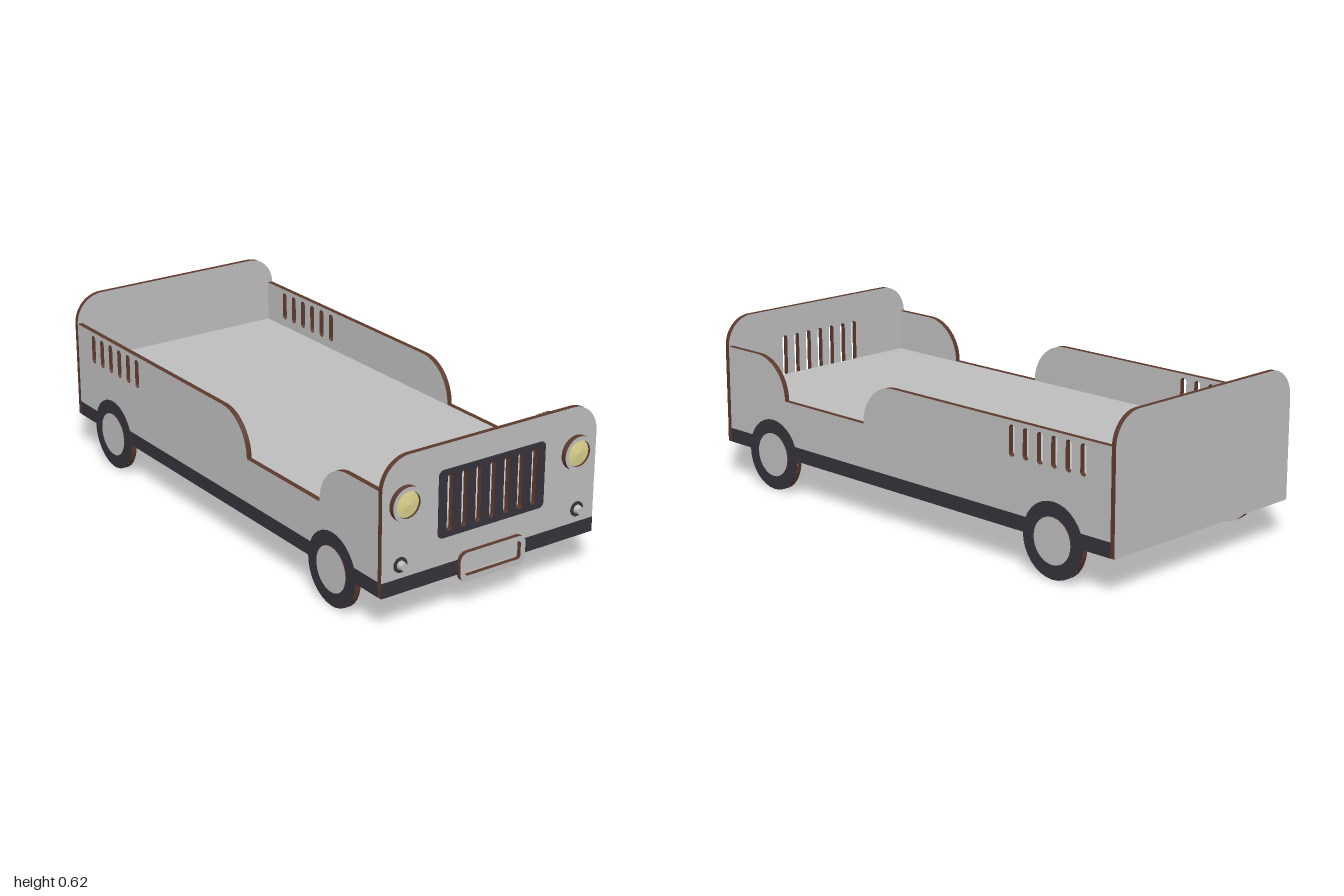
import * as THREE from 'three';

const mat = (name, color) => Object.assign(new THREE.MeshStandardMaterial({ color }), { name });

// Rounded rectangle added to a path; separate radii for bottom and top corners
function roundRect(path, x0, y0, x1, y1, rb, rt = rb) {
  path.moveTo(x0 + rb, y0);
  path.lineTo(x1 - rb, y0);
  if (rb) path.absarc(x1 - rb, y0 + rb, rb, -Math.PI / 2, 0);
  path.lineTo(x1, y1 - rt);
  if (rt) path.absarc(x1 - rt, y1 - rt, rt, 0, Math.PI / 2);
  path.lineTo(x0 + rt, y1);
  if (rt) path.absarc(x0 + rt, y1 - rt, rt, Math.PI / 2, Math.PI);
  path.lineTo(x0, y0 + rb);
  if (rb) path.absarc(x0 + rb, y0 + rb, rb, Math.PI, Math.PI * 1.5);
  return path;
}
const rect = (...a) => roundRect(new THREE.Shape(), ...a);
const hole = (...a) => roundRect(new THREE.Path(), ...a);
const disc = (x, y, r, Type = THREE.Shape) => new Type().absarc(x, y, r, 0, Math.PI * 2);

export function createModel() {
  const model = new THREE.Group();
  const grey = mat('grey paint', 0xbdbdbd);
  const dark = mat('dark trim', 0x35323b);
  const brown = mat('brown board edge', 0x5c392c);
  const yellow = mat('yellow lens', 0xded68f);
  const wood = mat('slat wood', 0x8a6f4c);
  const orange = mat('orange rail', 0xe47834);

  // Flat board cut from a shape: face colour on the caps, edge colour round the rim
  const board = (name, shape, z, depth, face = grey, edge = brown) => {
    const geo = new THREE.ExtrudeGeometry(shape, { depth, bevelEnabled: false, curveSegments: 16 });
    const mesh = new THREE.Mesh(geo, [face, edge]);
    mesh.name = name;
    mesh.position.z = z;
    model.add(mesh);
    return mesh;
  };
  // The same board turned so the shape lies in the z-y plane, from x to x + depth
  const sideBoard = (name, shape, x, depth, face, edge) => {
    const mesh = board(name, shape, 0, depth, face, edge);
    mesh.rotation.y = -Math.PI / 2;
    mesh.position.x = x + depth;
  };
  const box = (name, x0, x1, y0, y1, z0, z1, material) => {
    const mesh = new THREE.Mesh(new THREE.BoxGeometry(x1 - x0, y1 - y0, z1 - z0), material);
    mesh.name = name;
    mesh.position.set((x0 + x1) / 2, (y0 + y1) / 2, (z0 + z1) / 2);
    model.add(mesh);
  };
  // Shallow cone pointing forwards
  const cone = (name, x, y, z, rTip, rBase, height, material) => {
    const mesh = new THREE.Mesh(new THREE.CylinderGeometry(rTip, rBase, height, 40), material);
    mesh.name = name;
    mesh.rotation.x = Math.PI / 2;
    mesh.position.set(x, y, z + height / 2);
    model.add(mesh);
  };

  const W = 0.452, T = 0.02, BASE = 0.136, FRONT = 0.957, FACE = 0.976, BACK = -0.982;
  const wheels = [-0.73, 0.705], R = 0.135;

  // Front panel with grille slots cut right through
  const front = rect(-W, BASE, W, 0.618, 0, 0.11);
  const grille = rect(-0.225, 0.286, 0.225, 0.528, 0.02);
  for (let i = -3; i <= 3; i++) {
    const x = i * 0.0593;
    for (const s of [front, grille]) s.holes.push(hole(x - 0.012, 0.306, x + 0.012, 0.508, 0.0119));
  }
  board('frontPanel', front, FRONT, FACE - FRONT);
  board('grille', grille, FACE, 0.002, dark, dark);
  board('backPanel', rect(-W, BASE, W, 0.618, 0, 0.11), -1, 0.018);

  // Bumper loop, with the front stripe stopping either side of it
  const bumper = rect(-0.139, 0.109, 0.139, 0.215, 0.03);
  bumper.holes.push(hole(-0.119, 0.13, 0.119, 0.196, 0.012));
  board('bumper', bumper, FACE, 0.017);
  for (const s of [-1, 1]) {
    const [a, b] = [s * 0.125, s * W].sort((p, q) => p - q);
    box('frontStripe', a, b, BASE, 0.19, FACE, FACE + 0.001, dark);

    // Headlight ring with a lens set into it, and fog light
    const ring = disc(s * 0.361, 0.453, 0.062);
    ring.holes.push(disc(s * 0.361, 0.453, 0.047, THREE.Path));
    board('headlightRing', ring, FACE, 0.02);
    cone('headlightLens', s * 0.361, 0.453, FACE + 0.012, 0, 0.0465, 0.007, yellow);
    board('fogLightRing', disc(s * 0.377, 0.239, 0.027), FACE, 0.004, dark, dark);
    cone('fogLight', s * 0.377, 0.239, FACE + 0.004, 0.013, 0.016, 0.02, grey);
  }

  // Side panel outline, with wheel bulges below and a scooped entry above
  const side = new THREE.Shape();
  side.moveTo(BACK, BASE);
  for (const z of wheels) {
    side.lineTo(z - R, BASE);
    side.absarc(z, BASE, R, Math.PI, Math.PI * 2);
  }
  side.lineTo(FRONT, BASE);
  side.lineTo(FRONT, 0.51);
  side.lineTo(0.787, 0.51);
  side.absarc(0.787, 0.355, 0.155, Math.PI / 2, Math.PI);
  side.lineTo(0.198, 0.355);
  side.absarc(0.043, 0.355, 0.155, 0, Math.PI / 2);
  side.lineTo(BACK, 0.51);
  for (let i = 0; i < 6; i++) {
    const z = -0.54 - i * 0.0643;
    side.holes.push(hole(z - 0.0135, 0.385, z + 0.0135, 0.495, 0.0134));
  }

  for (const s of [-1, 1]) {
    // Start x of a layer lying between two distances from the centre line
    const from = (inner, outer) => (s > 0 ? inner : -outer);
    sideBoard('sidePanel', side, from(W - T, W), T);
    sideBoard('sideStripe', rect(BACK, BASE, FRONT, 0.19, 0), from(W, W + 0.001), 0.001, dark, dark);
    for (const z of wheels) {
      const tyre = disc(z, BASE, R);
      tyre.holes.push(disc(z, BASE, 0.083, THREE.Path));
      sideBoard('tyre', tyre, from(W, W + 0.002), 0.002, dark, dark);
      sideBoard('wheelHub', disc(z, BASE, 0.083), from(W, W + 0.005), 0.005);
    }
    // Inner rail and the ledge beside it that carries the slats
    const rx = from(0.414, 0.432), lx = from(0.39, 0.414);
    box('innerRail', rx, rx + 0.018, BASE, 0.2, BACK, FRONT, orange);
    box('slatLedge', lx, lx + 0.024, 0.197, 0.222, BACK, FRONT, wood);
  }

  // Mattress on evenly spaced slats that rest on the ledges
  box('mattress', -0.432, 0.432, 0.238, 0.354, BACK, FRONT, grey);
  for (let i = 0; i < 15; i++) {
    const z = BACK + 0.075 + i * 0.128;
    box('slat', -0.43, 0.43, 0.222, 0.238, z - 0.031, z + 0.031, wood);
  }
  box('frontCrossRail', -0.39, 0.39, 0.197, 0.222, FRONT - 0.024, FRONT, wood);
  return model;
}
